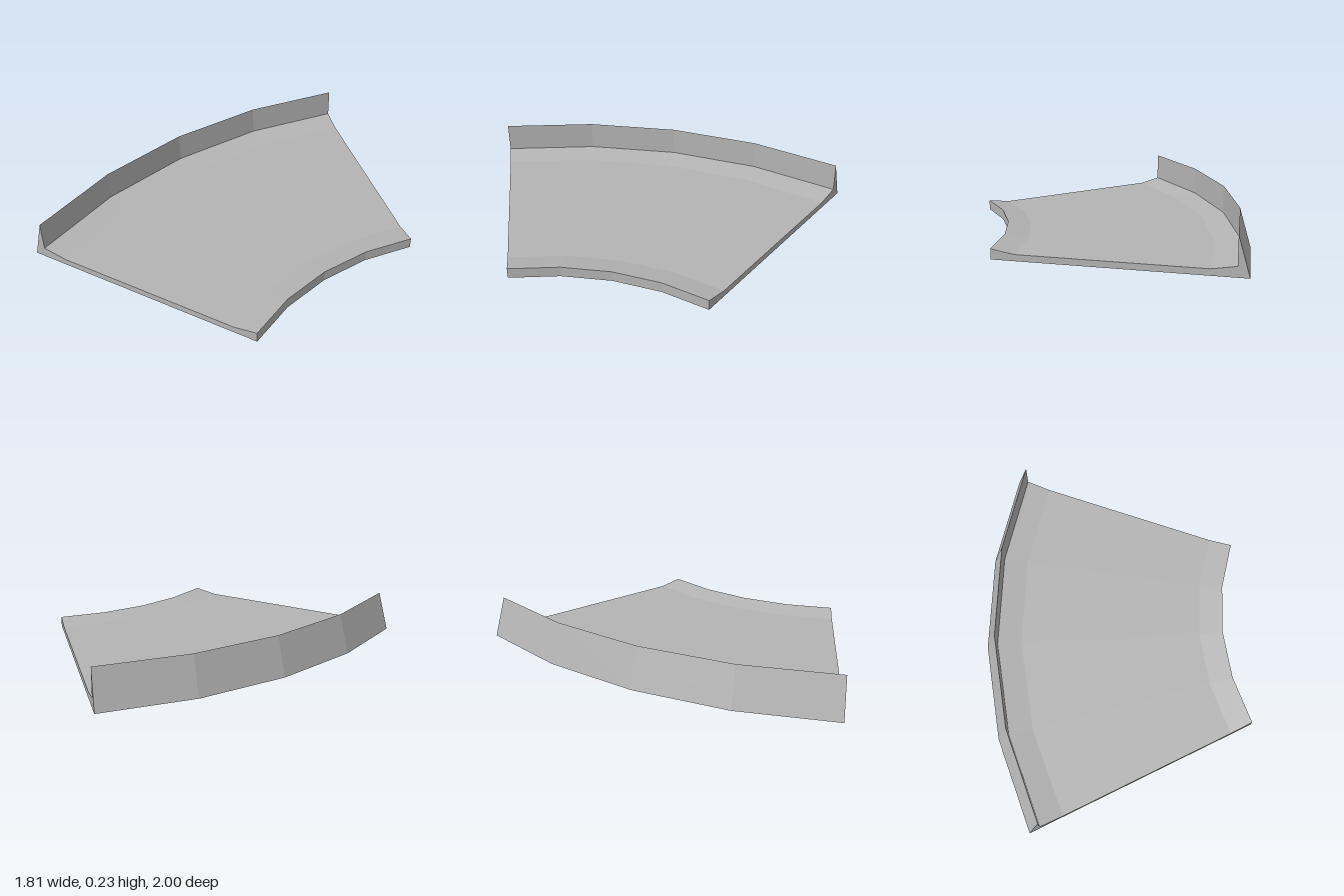
import * as THREE from 'three';

const CX = 1.923, CZ = 1;          // centre of the bend
const SWEEP = Math.PI / 4, STEPS = 4;

// Cross-section corners as [radius, height]
const outerFoot = [2.828, 0], crest = [2.763, 0.227], wallFoot = [2.763, 0.06];
const floorOuter = [2.625, 0.037], floorInner = [1.573, 0.037];
const lip = [1.438, 0.06], innerFoot = [1.438, 0], baseOuter = [2.763, 0];

const at = ([r, y], a) => [CX - r * Math.cos(a), y, CZ - r * Math.sin(a)];

export function createModel() {
  const group = new THREE.Group();
  const grey = new THREE.MeshStandardMaterial({ color: 0xb4b4b4, side: THREE.DoubleSide, flatShading: true });
  grey.name = 'plain grey';

  const add = (name, geometry) => {
    const mesh = new THREE.Mesh(geometry, grey);
    mesh.name = name;
    group.add(mesh);
  };

  // Sweeps one edge of the cross-section round the bend
  const band = (name, p, q) => {
    const pos = [];
    for (let i = 0; i < STEPS; i++) {
      const a = SWEEP * i / STEPS, b = SWEEP * (i + 1) / STEPS;
      pos.push(...at(p, a), ...at(q, a), ...at(q, b), ...at(p, a), ...at(q, b), ...at(p, b));
    }
    const g = new THREE.BufferGeometry();
    g.setAttribute('position', new THREE.Float32BufferAttribute(pos, 3));
    g.computeVertexNormals();
    add(name, g);
  };

  band('outerWall', outerFoot, crest);
  band('wallInside', crest, wallFoot);
  band('outerSlope', wallFoot, floorOuter);
  band('floor', floorOuter, floorInner);
  band('innerSlope', floorInner, lip);
  band('innerEdge', lip, innerFoot);
  band('underside', innerFoot, baseOuter); // the wall stays open below

  // Flat ends closing the cross-section
  const section = [outerFoot, crest, wallFoot, floorOuter, floorInner, lip, innerFoot];
  const endFace = (sign) => new THREE.ShapeGeometry(
    new THREE.Shape(section.map(([r, y]) => new THREE.Vector2(sign * r, y))));
  add('frontEnd', endFace(-1).translate(CX, 0, CZ));
  add('backEnd', endFace(1).rotateY(Math.PI - SWEEP).translate(CX, 0, CZ));

  return group;
}
